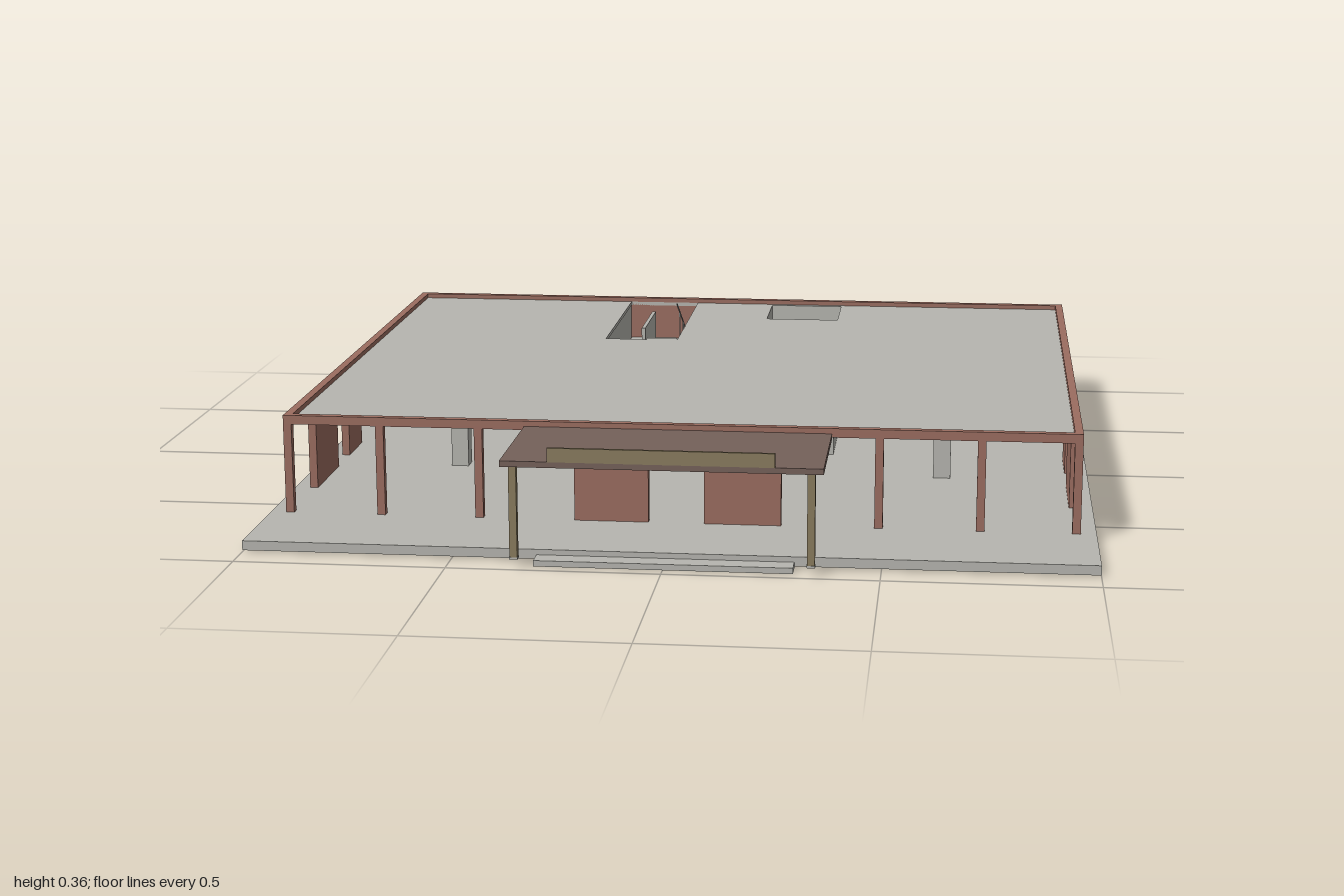
import * as THREE from 'three';

const mat = (name, color) => {
  const m = new THREE.MeshStandardMaterial({ color });
  m.name = name;
  return m;
};

export function createModel() {
  const concrete = mat('concrete grey', 0xb7b6b0);
  const brick = mat('brick red', 0x9b6d60);
  const canopyBrown = mat('canopy brown', 0x75615a);
  const olive = mat('olive tan', 0x8a7c5e);

  const model = new THREE.Group();
  model.name = 'pavilion';
  const group = (name) => {
    const g = new THREE.Group();
    g.name = name;
    model.add(g);
    return g;
  };

  // Box given by its minimum and maximum on each axis
  const box = (parent, name, material, x0, x1, y0, y1, z0, z1) => {
    const mesh = new THREE.Mesh(new THREE.BoxGeometry(x1 - x0, y1 - y0, z1 - z0), material);
    mesh.position.set((x0 + x1) / 2, (y0 + y1) / 2, (z0 + z1) / 2);
    mesh.name = name;
    parent.add(mesh);
    return mesh;
  };

  // Horizontal plate with rectangular holes, each [x0, x1, z0, z1]
  const plate = (parent, name, material, outline, holes, y0, y1) => {
    const corners = ([x0, x1, z0, z1]) =>
      [[x0, -z1], [x1, -z1], [x1, -z0], [x0, -z0]].map(([x, y]) => new THREE.Vector2(x, y));
    const shape = new THREE.Shape(corners(outline));
    holes.forEach((h) => shape.holes.push(new THREE.Path(corners(h).reverse())));
    const geo = new THREE.ExtrudeGeometry(shape, { depth: y1 - y0, bevelEnabled: false });
    geo.rotateX(-Math.PI / 2).translate(0, y0, 0);
    const mesh = new THREE.Mesh(geo, material);
    mesh.name = name;
    parent.add(mesh);
  };

  const FLOOR = 0.027, HEAD = 0.248, ROOF = 0.258, TOP = 0.27;
  const X = 0.962, FRONT = 0.663, BACK = -0.962, T = 0.02;
  const lightWell = [0.105, 0.31, -0.927, -0.72];
  const stairHole = [-0.32, -0.12, BACK + T, -0.39];

  // Ground slab, entrance step and roof
  plate(model, 'groundSlab', concrete, [-1, 1, -1, 0.92], [lightWell], 0.004, FLOOR);
  plate(model, 'foundation', concrete, [-0.97, 0.97, -0.97, 0.66], [lightWell], 0, 0.004);
  box(model, 'entranceStep', concrete, -0.3, 0.3, 0, 0.014, 0.92, 0.968);
  plate(model, 'roof', concrete, [-X + T, X - T, BACK + T, FRONT - T], [lightWell, stairHole], HEAD, ROOF);

  // Front and back walls
  const frontPiers = [[-0.07, -0.25], [0.065, 0.25]];
  const frontWall = group('frontWall');
  const backWall = group('backWall');
  box(frontWall, 'frontBeam', brick, -X, X, HEAD, TOP, FRONT - T, FRONT);
  box(backWall, 'backBeam', brick, -X, X, HEAD, TOP, BACK, BACK + T);
  for (const s of [-1, 1]) {
    for (const x of [0.952, 0.725, 0.483]) {
      box(frontWall, 'frontPier', brick, s * x - T / 2, s * x + T / 2, FLOOR, HEAD, FRONT - T, FRONT);
      if (x > 0.5) box(backWall, 'backPier', brick, s * x - T / 2, s * x + T / 2, FLOOR, HEAD, BACK, BACK + T);
    }
  }
  for (const [a, b] of frontPiers)
    box(frontWall, 'entranceWall', brick, Math.min(a, b), Math.max(a, b), FLOOR, HEAD, FRONT - T, FRONT);
  box(frontWall, 'entranceLintel', brick, -0.07, 0.065, 0.212, HEAD, FRONT - T, FRONT);
  box(backWall, 'solidBackWall', brick, -0.493, 0.493, FLOOR, HEAD, BACK, BACK + T);

  // Side walls with a doorway and window bays
  const sidePiers = [[0.21, 0.43], [-0.05, 0.09], [-0.275, -0.26], [-0.497, -0.48], [-0.72, -0.703]];
  for (const s of [-1, 1]) {
    const side = group(s > 0 ? 'leftWall' : 'rightWall');
    const x0 = s > 0 ? X - T : -X, x1 = x0 + T;
    box(side, 'sideBeam', brick, x0, x1, HEAD, TOP, BACK + T, FRONT - T);
    for (const [z0, z1] of sidePiers) box(side, 'sidePier', brick, x0, x1, FLOOR, HEAD, z0, z1);
    box(side, 'sideDoorLintel', brick, x0, x1, 0.212, HEAD, 0.09, 0.21);

    // Interior partition and columns
    const px = s * 0.329;
    box(model, 'partition', concrete, px - 0.008, px + 0.008, FLOOR, HEAD, BACK + T, -0.045);
    for (const z of [0.15, -0.44])
      box(model, 'column', concrete, s * 0.627 - 0.022, s * 0.627 + 0.022, FLOOR, HEAD, z - 0.022, z + 0.022);
  }

  // Light well lined with concrete
  plate(model, 'lightWellWalls', concrete, [0.085, 0.321, BACK + T, -0.7], [lightWell], FLOOR, HEAD);

  // Two-flight staircase with a landing
  const stairs = group('staircase');
  const steps = 11, landingY = 0.15, z0 = -0.39, z1 = -0.63;
  const run = (z0 - z1) / steps;
  for (let i = 0; i < steps; i++) {
    const lowY = FLOOR + ((landingY - FLOOR) * (i + 1)) / steps;
    const zf = z0 - i * run;
    box(stairs, 'lowerStep', concrete, -0.318, -0.222, lowY - 0.018, lowY, zf - run, zf);
    const highY = landingY + ((ROOF - landingY) * (i + 1)) / steps;
    const zb = z1 + i * run;
    box(stairs, 'upperStep', concrete, -0.206, -0.121, highY - 0.018, highY, zb, zb + run);
  }
  box(stairs, 'landing', concrete, -0.32, -0.12, landingY - 0.012, landingY, BACK + T, z1);
  box(stairs, 'stairDivider', concrete, -0.219, -0.209, FLOOR, 0.29, z1, -0.387);

  // Sloping handrail on the upper flight
  const a = new THREE.Vector3(-0.12, 0.235, -0.63), b = new THREE.Vector3(-0.12, 0.362, -0.385);
  const rail = new THREE.Mesh(new THREE.CylinderGeometry(0.002, 0.002, a.distanceTo(b), 6), concrete);
  rail.position.copy(a).lerp(b, 0.5);
  rail.quaternion.setFromUnitVectors(new THREE.Vector3(0, 1, 0), b.clone().sub(a).normalize());
  rail.name = 'handrail';
  stairs.add(rail);
  for (const t of [0.35, 0.7]) {
    const p = a.clone().lerp(b, t);
    box(stairs, 'railPost', concrete, -0.1215, -0.1185, p.y - 0.09, p.y, p.z - 0.0015, p.z + 0.0015);
  }

  // Entrance canopy on two posts with a fascia board
  const canopy = group('entranceCanopy');
  box(canopy, 'canopyRoof', canopyBrown, -0.37, 0.37, 0.243, 0.257, FRONT, 0.998);
  box(canopy, 'fasciaBoard', olive, -0.26, 0.26, 0.257, 0.29, 0.992, 1);
  for (const s of [-1, 1])
    box(canopy, 'canopyPost', olive, s * 0.342 - 0.009, s * 0.342 + 0.009, FLOOR, 0.243, 0.972, 0.99);
  // Posts stand on small footings
  for (const s of [-1, 1])
    box(canopy, 'postFooting', concrete, s * 0.342 - 0.01, s * 0.342 + 0.01, 0.022, FLOOR, 0.971, 0.991);

  return model;
}
